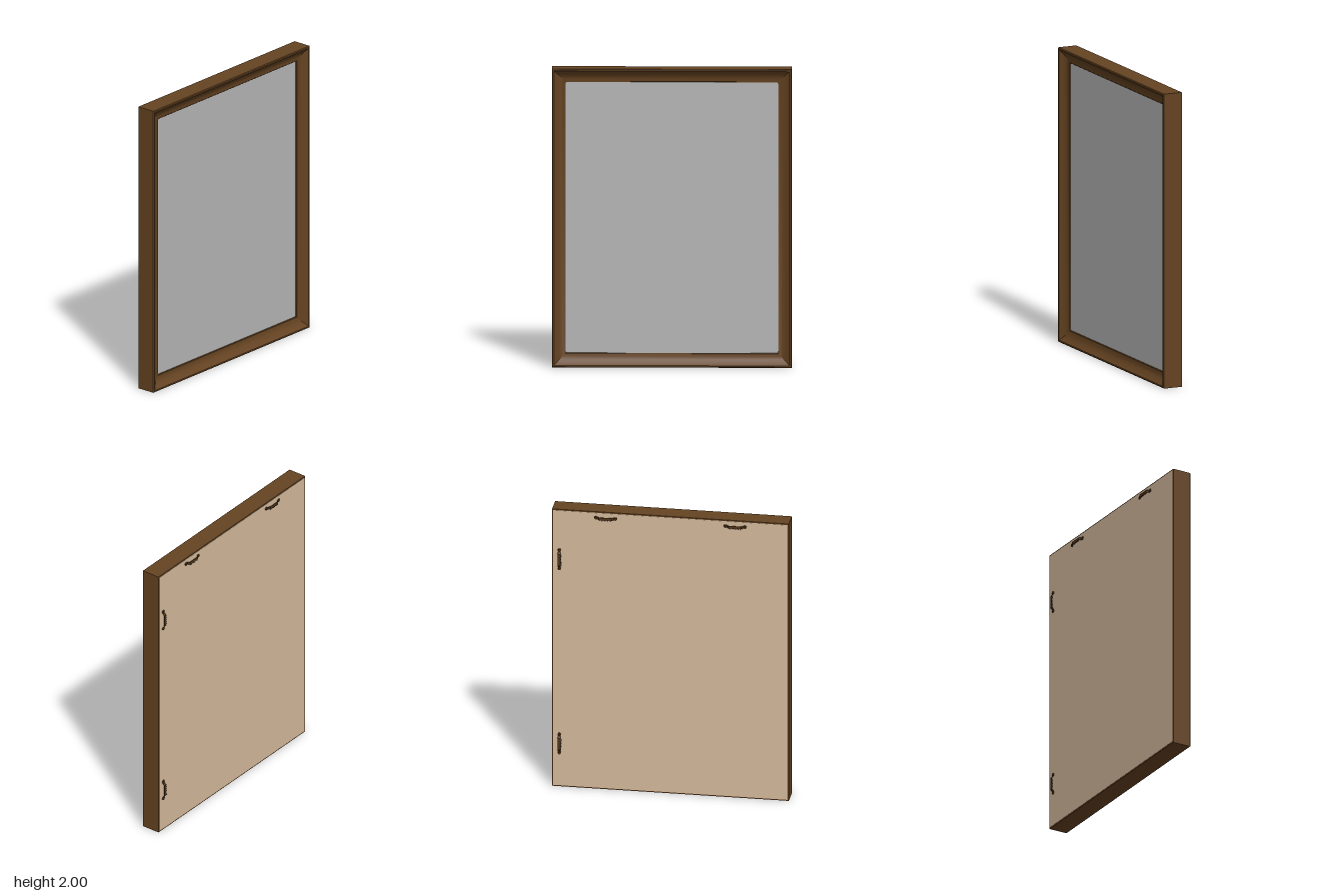
import * as THREE from 'three';
import { toCreasedNormals } from 'three/addons/utils/BufferGeometryUtils.js';

const HALF_W = 0.795, HALF_H = 1, BACK = -0.06;

const wood = new THREE.MeshStandardMaterial({ color: 0x654321 });
wood.name = 'brown wood';
const glass = new THREE.MeshStandardMaterial({ color: 0xb5b5b5 });
glass.name = 'grey pane';
const board = new THREE.MeshStandardMaterial({ color: 0xd4b99c });
board.name = 'tan backing';
const metal = new THREE.MeshStandardMaterial({ color: 0x4f3519 });
metal.name = 'dark bronze';

function part(name, geometry, material, x = 0, y = 0, z = 0) {
  const mesh = new THREE.Mesh(geometry, material);
  mesh.name = name;
  mesh.position.set(x, y, z);
  return mesh;
}

// Four mitred mouldings swept from one [inset, z] profile
function mouldingGeometry(profile) {
  const corners = [[-1, -1], [1, -1], [1, 1], [-1, 1]];
  const point = ([sx, sy], [inset, z]) => [sx * (HALF_W - inset), HALF_H + sy * (HALF_H - inset), z];
  const positions = [];
  corners.forEach((c0, k) => {
    const c1 = corners[(k + 1) % 4];
    for (let i = 0; i < profile.length - 1; i++) {
      const a = point(c0, profile[i]), b = point(c1, profile[i]);
      const c = point(c1, profile[i + 1]), d = point(c0, profile[i + 1]);
      positions.push(...a, ...b, ...c, ...a, ...c, ...d);
    }
  });
  const geometry = new THREE.BufferGeometry();
  geometry.setAttribute('position', new THREE.Float32BufferAttribute(positions, 3));
  geometry.computeVertexNormals();
  return toCreasedNormals(geometry, 0.5);
}

// Thin lip around the pane, with slightly rounded inner corners
function lipGeometry() {
  const w = HALF_W - 0.087, h = HALF_H - 0.087, iw = HALF_W - 0.09, ih = HALF_H - 0.092, r = 0.012;
  const shape = new THREE.Shape([[-w, -h], [w, -h], [w, h], [-w, h]].map(p => new THREE.Vector2(...p)));
  const hole = new THREE.Path();
  hole.moveTo(-iw + r, -ih);
  hole.absarc(iw - r, -ih + r, r, -Math.PI / 2, 0);
  hole.absarc(iw - r, ih - r, r, 0, Math.PI / 2);
  hole.absarc(-iw + r, ih - r, r, Math.PI / 2, Math.PI);
  hole.absarc(-iw + r, -ih + r, r, Math.PI, Math.PI * 1.5);
  shape.holes.push(hole);
  return new THREE.ExtrudeGeometry(shape, { depth: 0.01, bevelEnabled: false, curveSegments: 4 });
}

// Sawtooth hanger: length along x, teeth towards -y, raised along +z
function makeHanger(name) {
  const hanger = new THREE.Group();
  hanger.name = name;
  const t = 0.003, top = 0.017, width = 0.018;

  // Bent strap with a raised middle
  const upper = [[-0.072, t], [-0.056, t], [-0.042, top], [0.042, top], [0.056, t], [0.072, t]];
  const lower = upper.map(([x, z]) => [x, z - t]).reverse();
  const strap = new THREE.ExtrudeGeometry(
    new THREE.Shape([...upper, ...lower].map(p => new THREE.Vector2(...p))),
    { depth: width, bevelEnabled: false });
  strap.rotateX(Math.PI / 2).translate(0, width / 2, 0);
  hanger.add(part('strap', strap, metal));

  // Row of teeth on the raised edge
  const teeth = new THREE.Shape();
  const count = 8, x0 = -0.042, step = 0.084 / count;
  teeth.moveTo(x0, -width / 2 + 0.002);
  for (let i = 0; i < count; i++) {
    teeth.lineTo(x0 + (i + 0.5) * step, -width / 2 - 0.008);
    teeth.lineTo(x0 + (i + 1) * step, -width / 2 + 0.002);
  }
  const toothPlate = new THREE.ExtrudeGeometry(teeth, { depth: t, bevelEnabled: false });
  hanger.add(part('teeth', toothPlate, metal, 0, 0, top - t));

  // Rounded end tabs with nail heads
  for (const side of [-1, 1]) {
    const tab = new THREE.CylinderGeometry(0.012, 0.012, 0.004, 16).rotateX(Math.PI / 2);
    const nail = new THREE.CylinderGeometry(0.005, 0.007, 0.004, 12).rotateX(Math.PI / 2);
    hanger.add(part('endTab', tab, metal, side * 0.066, 0, 0.002));
    hanger.add(part('nailHead', nail, metal, side * 0.066, 0, 0.006));
  }
  return hanger;
}

export function createModel() {
  const model = new THREE.Group();
  model.name = 'pictureFrame';

  // Moulding: flat sides, narrow rim and a shallow scoop down to the pane
  const profile = [[0.09, BACK + 0.002], [0, BACK + 0.002], [0, 0.072], [0.005, 0.077], [0.014, 0.077],
    [0.022, 0.069], [0.036, 0.057], [0.052, 0.047], [0.07, 0.04], [0.088, 0.036], [0.09, 0.034], [0.09, 0.02]];
  model.add(part('frameMoulding', mouldingGeometry(profile), wood));
  model.add(part('innerLip', lipGeometry(), wood, 0, HALF_H, 0.024));

  // Pane and backing board
  model.add(part('pane', new THREE.BoxGeometry(1.42, 1.83, 0.01), glass, 0, HALF_H, 0.022));
  model.add(part('backingBoard', new THREE.BoxGeometry(1.574, 1.984, 0.01), board, 0, HALF_H, BACK + 0.005));

  // Hangers along the top edge and down the left edge of the back
  for (const [name, x, y, turn] of [
    ['topHangerRight', -0.435, 1.957, 0], ['topHangerLeft', 0.435, 1.957, 0],
    ['sideHangerUpper', 0.746, 1.64, Math.PI / 2], ['sideHangerLower', 0.746, 0.31, Math.PI / 2]]) {
    const hanger = makeHanger(name);
    hanger.position.set(x, y, BACK);
    hanger.rotation.set(0, Math.PI, turn);
    model.add(hanger);
  }
  return model;
}
